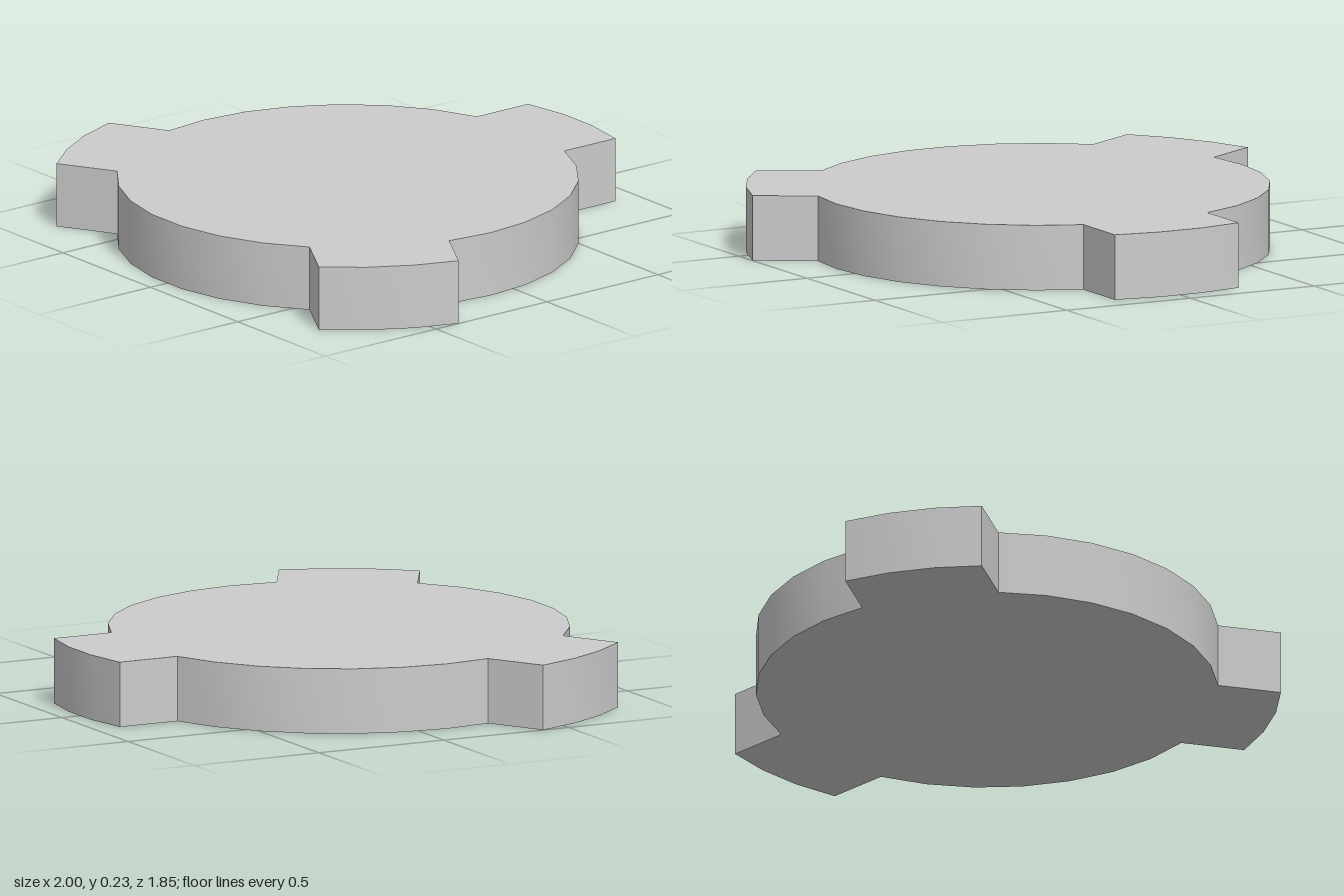
import * as THREE from 'three';
import { toCreasedNormals } from 'three/addons/utils/BufferGeometryUtils.js';

const DISC_R = 0.819, TAB_R = 1.041, TAB_HALF = 0.25, HEIGHT = 0.234, CENTRE_Z = 0.11;

// Points along an arc, from angle a to angle b
function arc(radius, a, b, segments) {
  return Array.from({ length: segments + 1 }, (_, i) => {
    const t = a + (b - a) * i / segments;
    return new THREE.Vector2(radius * Math.cos(t), radius * Math.sin(t));
  });
}

export function createModel() {
  const model = new THREE.Group();
  model.name = 'tabbedDisc';

  // Outline: three parallel-sided tabs joined by arcs of the disc
  const tabAngle = Math.asin(TAB_HALF / TAB_R);
  const rootAngle = Math.asin(TAB_HALF / DISC_R);
  const third = Math.PI * 2 / 3;
  const outline = [];
  for (let i = 0; i < 3; i++) {
    const mid = Math.PI / 2 + i * third;
    outline.push(...arc(TAB_R, mid - tabAngle, mid + tabAngle, 3));
    outline.push(...arc(DISC_R, mid + rootAngle, mid + third - rootAngle, 7));
  }

  // Flat plate, laid down with one tab pointing to the back
  const plate = new THREE.ExtrudeGeometry(new THREE.Shape(outline), { depth: HEIGHT, bevelEnabled: false });
  plate.rotateX(-Math.PI / 2);
  plate.translate(0, 0, CENTRE_Z);

  const mesh = new THREE.Mesh(
    toCreasedNormals(plate, 0.5),
    new THREE.MeshStandardMaterial({ color: 0xcccccc })
  );
  mesh.name = 'plate';
  model.add(mesh);
  return model;
}
